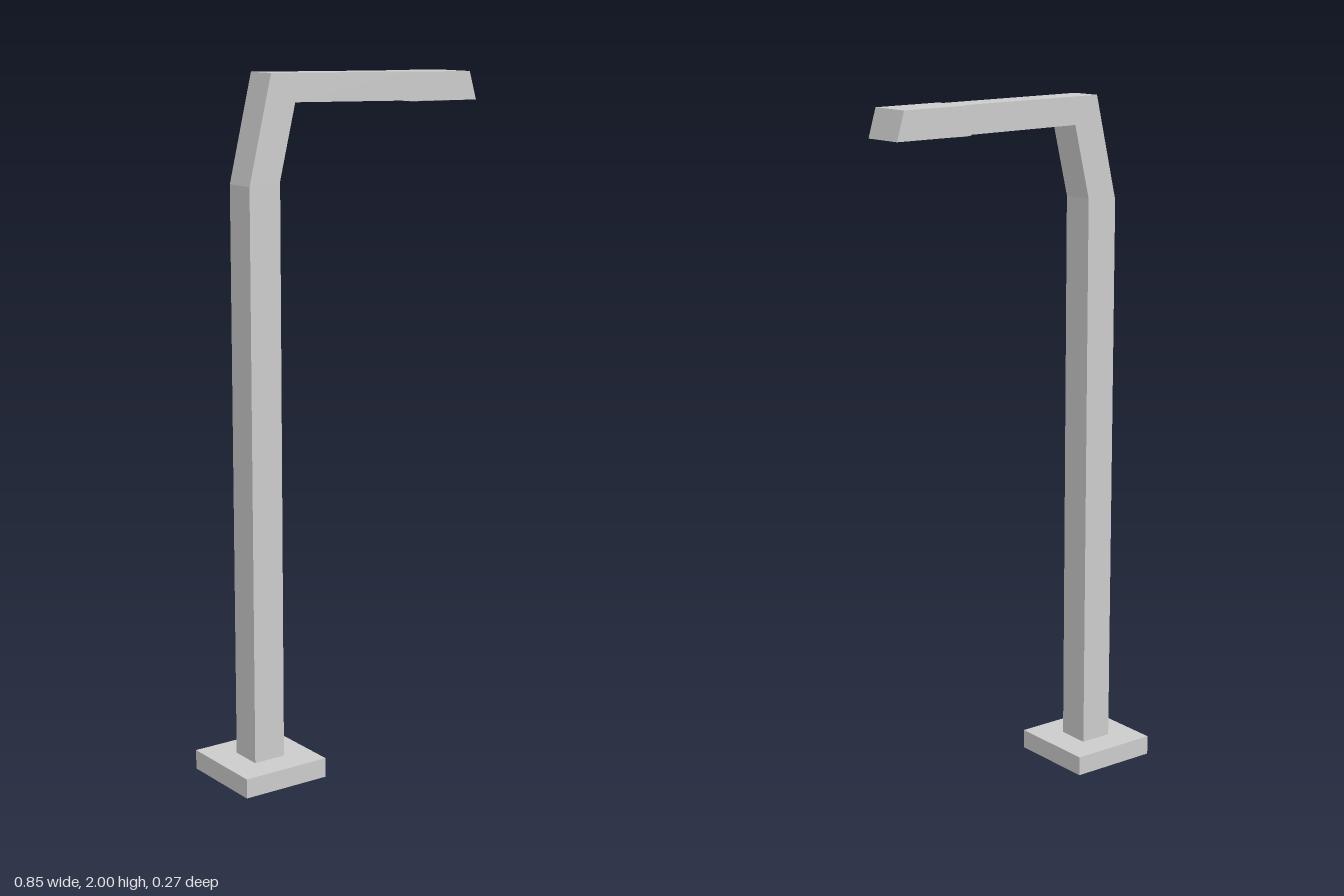
import * as THREE from 'three';

const grey = new THREE.MeshStandardMaterial({ color: 0xcccccc, flatShading: true });
const yellow = new THREE.MeshStandardMaterial({ color: 0xeedd00, flatShading: true });

// Mesh from a list of four-cornered faces, each counter-clockwise from outside
function quadMesh(name, quads, material) {
  const pos = [];
  for (const [a, b, c, d] of quads) pos.push(...a, ...b, ...c, ...a, ...c, ...d);
  const geo = new THREE.BufferGeometry();
  geo.setAttribute('position', new THREE.Float32BufferAttribute(pos, 3));
  geo.computeVertexNormals();
  const mesh = new THREE.Mesh(geo, material);
  mesh.name = name;
  return mesh;
}

// Rectangular cross-section: outer (upper) edge, inner (lower) edge, half width in z
const section = (ox, oy, ix, iy, w) => [[ox, oy, w], [ox, oy, -w], [ix, iy, -w], [ix, iy, w]];

// Faces joining two sections; sides are 0 outer, 1 back, 2 inner, 3 front
const join = (a, b, sides = [0, 1, 2, 3]) =>
  sides.map((i) => [a[i], b[i], b[(i + 1) % 4], a[(i + 1) % 4]]);

export function createModel() {
  const group = new THREE.Group();

  // Square foot plate
  const base = new THREE.Mesh(new THREE.BoxGeometry(0.27, 0.057, 0.27), grey);
  base.name = 'base';
  base.position.set(-0.292, 0.0285, 0);
  group.add(base);

  // Bent square post and horizontal arm
  const w = 0.049, headW = 0.067;
  const foot = section(-0.342, 0.05, -0.243, 0.05, w);
  const bend = section(-0.342, 1.7, -0.243, 1.71, w);
  const elbow = section(-0.27, 2, -0.192, 1.92, w);
  const armEnd = section(0.187, 1.993, 0.167, 1.913, w);
  group.add(quadMesh('post', [...join(foot, bend), ...join(bend, elbow)], grey));
  group.add(quadMesh('arm', join(elbow, armEnd), grey));

  // Lamp head: flared neck, housing with slanted end
  const neck = section(0.206, 1.993, 0.187, 1.912, headW);
  const tip = section(0.4, 1.99, 0.424, 1.909, headW);
  const head = [
    ...join(armEnd, neck),
    ...join(neck, tip, [0, 1, 3]),
    [tip[0], tip[3], tip[2], tip[1]],
  ];

  // Underside rim and the walls of the recess
  const outer = [neck[3], neck[2], tip[2], tip[3]];
  const rect = (y) => [[0.2, y, 0.057], [0.2, y, -0.057], [0.41, y, -0.057], [0.41, y, 0.057]];
  const rim = rect(1.91), recess = rect(1.935);
  for (let i = 0; i < 4; i++) {
    const j = (i + 1) % 4;
    head.push([outer[i], outer[j], rim[j], rim[i]], [rim[i], rim[j], recess[j], recess[i]]);
  }
  group.add(quadMesh('lampHead', head, grey));

  // Light panel facing down
  group.add(quadMesh('lightPanel', [recess], yellow));

  return group;
}
